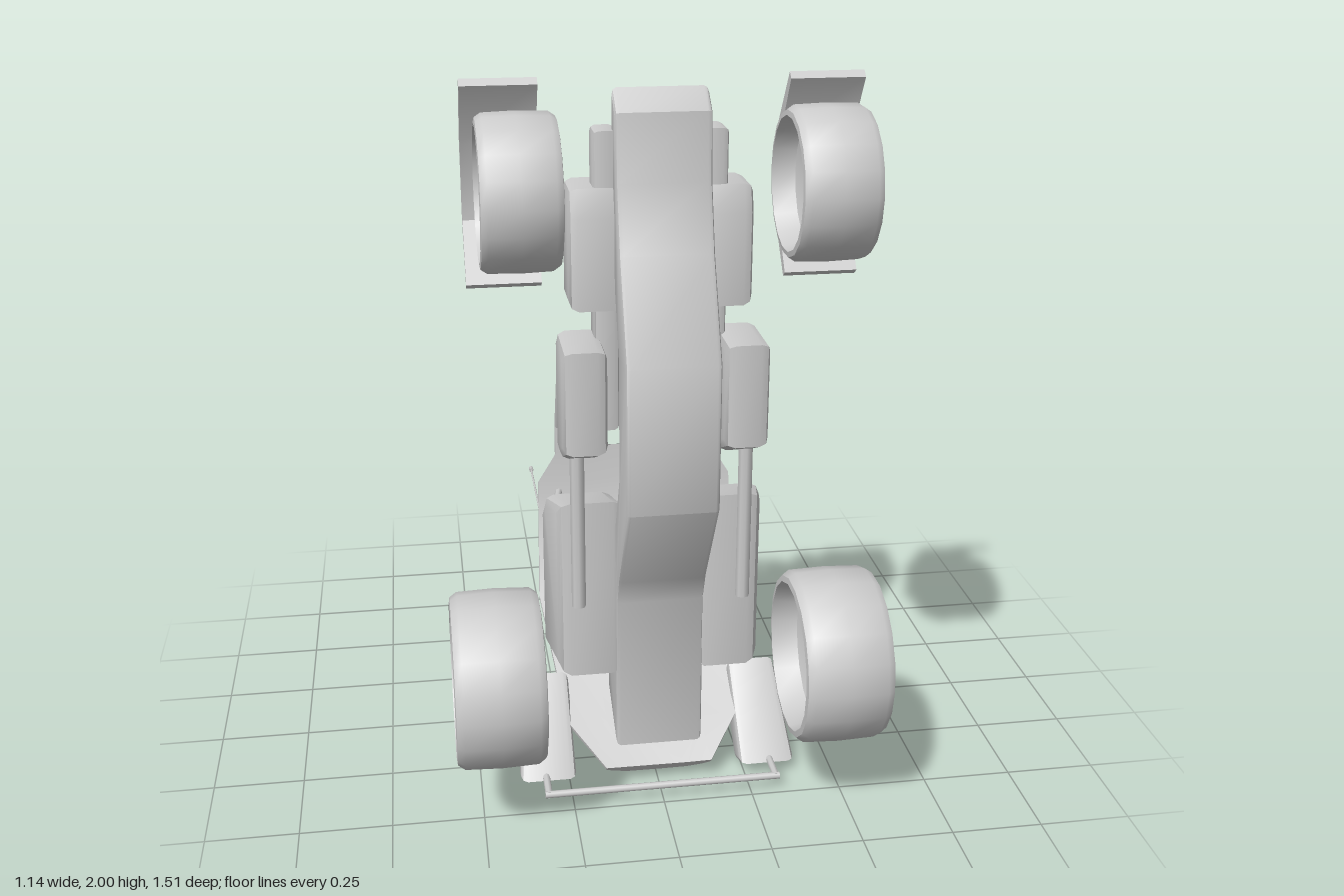
import * as THREE from 'three';
import { toCreasedNormals, mergeVertices } from 'three/addons/utils/BufferGeometryUtils.js';

const material = new THREE.MeshStandardMaterial({ color: 0xcccccc });
const doubleSided = new THREE.MeshStandardMaterial({ color: 0xcccccc, side: THREE.DoubleSide });

export function createModel() {
  const model = new THREE.Group();

  function add(name, geometry, mat = material) {
    const mesh = new THREE.Mesh(geometry, mat);
    mesh.name = name;
    model.add(mesh);
    return mesh;
  }

  // Side outline of [z, y] points, extruded across x from xa to xb
  function slab(name, outline, xa, xb, bevel = 0, rule = null) {
    const shape = new THREE.Shape(outline.map(([z, y]) => new THREE.Vector2(z, y)));
    const geo = new THREE.ExtrudeGeometry(shape, {
      depth: Math.abs(xb - xa) - 2 * bevel,
      bevelEnabled: bevel > 0, bevelSize: bevel, bevelThickness: bevel,
      bevelOffset: -bevel, bevelSegments: 2,
    });
    geo.rotateY(-Math.PI / 2);
    geo.translate(Math.max(xa, xb) - bevel, 0, 0);
    if (rule) {
      const p = geo.attributes.position;
      for (let i = 0; i < p.count; i++) p.setX(i, rule(p.getX(i), p.getY(i), p.getZ(i)));
    }
    return add(name, toCreasedNormals(geo, 0.6));
  }

  // Round bar between points
  function bar(name, points, radius) {
    for (let i = 0; i + 1 < points.length; i++) {
      const a = new THREE.Vector3(...points[i]);
      const b = new THREE.Vector3(...points[i + 1]);
      const dir = b.clone().sub(a);
      const mesh = add(name, new THREE.CylinderGeometry(radius, radius, dir.length() + radius, 8));
      mesh.position.copy(a).add(b).multiplyScalar(0.5);
      mesh.quaternion.setFromUnitVectors(new THREE.Vector3(0, 1, 0), dir.normalize());
    }
  }

  // Tyre with a dished face and hub on both sides
  function wheel(name, x, y, z, r, width) {
    const h = width / 2;
    const half = [[0, 0.42 * h], [0.12 * r, 0.4 * h], [0.17 * r, 0.1 * h], [0.55 * r, 0.16 * h],
      [0.8 * r, 0.4 * h], [0.86 * r, h], [0.93 * r, 0.98 * h], [0.985 * r, 0.82 * h]];
    const profile = [
      ...half.map(([a, b]) => new THREE.Vector2(a, -b)),
      new THREE.Vector2(r, 0),
      ...half.reverse().map(([a, b]) => new THREE.Vector2(a, b)),
    ];
    const geo = new THREE.LatheGeometry(profile, 18);
    geo.rotateZ(Math.PI / 2);
    add(name, toCreasedNormals(geo, 0.75)).position.set(x, y, z);
  }

  // Central chassis beam, bent along its length
  slab('chassisBeam', [
    [0.4, 0.13], [0.405, 0.58], [0.44, 0.66], [0.61, 0.93], [0.61, 1.32], [0.49, 1.57],
    [0.44, 1.74], [0.43, 1.91], [0.36, 1.96], [0.36, 1.56], [0.47, 1.3], [0.47, 0.98],
    [0.28, 0.6], [0.22, 0.36], [0.22, 0.22],
  ], -0.12, 0.12, 0.012);

  // Curved rear shell lofted from arched sections
  const sections = [ // z, y, half width, inward offset z and y
    [-0.165, 0.8, 0.22, 0.055, 0.035],
    [-0.15, 0.71, 0.285, 0.05, 0.02],
    [-0.075, 0.36, 0.295, 0.045, 0.03],
    [0.12, 0.19, 0.265, 0.03, 0.045],
    [0.27, 0.1, 0.24, 0.025, 0.04],
    [0.38, 0.03, 0.15, 0.025, 0.03],
  ];
  const arch = [[-1, 0.75], [-0.85, 0.35], [-0.55, 0], [0, -0.05], [0.55, 0], [0.85, 0.35], [1, 0.75],
    [1, 1.1], [0.55, 1], [-0.55, 1], [-1, 1.1]];
  const verts = [], faces = [], n = arch.length;
  sections.forEach(([z, y, w, oz, oy], r) => {
    for (const [u, k] of arch) verts.push(u * w, y + k * oy, z + k * oz);
    if (r === 0) return;
    for (let i = 0; i < n; i++) {
      const a = (r - 1) * n + i, b = (r - 1) * n + (i + 1) % n;
      faces.push(a, b, a + n, b, b + n, a + n);
    }
  });
  const last = (sections.length - 1) * n;
  for (let i = 0; i < n; i++) { // end caps, fanned from the middle of the inner side
    const j = (i + 1) % n;
    if (i === 8 || j === 8) continue;
    faces.push(8, j, i, last + 8, last + i, last + j);
  }
  const shell = new THREE.BufferGeometry();
  shell.setAttribute('position', new THREE.Float32BufferAttribute(verts, 3));
  shell.setIndex(faces);
  add('rearShell', toCreasedNormals(mergeVertices(shell), 0.7), doubleSided);

  for (const s of [-1, 1]) {
    const side = s > 0 ? 'left' : 'right';

    wheel(side + 'SmallWheel', s * 0.368, 1.757, 0.57, 0.188, 0.19);
    wheel(side + 'LargeWheel', s * 0.452, 0.445, 0.515, 0.235, 0.235);

    // Folded fender behind the small wheel
    slab(side + 'Fender', [
      [0.43, 2.0], [0.32, 1.85], [0.315, 1.63], [0.43, 1.49], [0.447, 1.503],
      [0.345, 1.64], [0.35, 1.83], [0.447, 1.985],
    ], s * 0.305, s * 0.49);

    // Long post and the pod around it
    slab(side + 'Post', [[0.39, 1.08], [0.39, 1.86], [0.3, 1.86], [0.3, 1.08]], s * 0.105, s * 0.17, 0.015);
    slab(side + 'UpperPod', [[0.41, 1.41], [0.41, 1.65], [0.39, 1.72], [0.26, 1.72], [0.26, 1.41]],
      s * 0.09, s * 0.235, 0.025);

    // Lower pod with its rod
    slab(side + 'LowerPod', [[0.51, 1.06], [0.51, 1.335], [0.32, 1.335], [0.32, 1.01], [0.4, 1.01]],
      s * 0.15, s * 0.265, 0.025);
    bar(side + 'Rod', [[s * 0.223, 0.6, 0.42], [s * 0.223, 1.04, 0.42]], 0.019);

    // Side tub, tapering outward near its top
    slab(side + 'Tub', [[0.4, 0.365], [0.4, 0.88], [0.25, 0.845], [0.2, 0.79], [0.2, 0.365]],
      s * 0.11, s * 0.3, 0.03, (x, y, z) => x * (1 - 0.1 * Math.max(0, (z - 0.25) / 0.15)));

    // Slanted corner box at the foot, narrowing toward the back
    slab(side + 'CornerBox', [[0.41, 0.04], [0.32, 0.0], [0.11, 0.17], [0.19, 0.255]],
      s * 0.235, s * 0.39, 0.018, (x, y, z) => {
        const out = Math.max(0, Math.abs(x) - 0.235);
        return s * (Math.abs(x) - out * Math.min(0.6, Math.max(0, (0.21 - z) * 6)));
      });

    // Cage rail and braces
    bar(side + 'CageRail', [
      [s * 0.24, 1.3, 0.36], [s * 0.222, 1.14, 0], [s * 0.222, 0.9, -0.115], [s * 0.222, 0.76, -0.12],
    ], 0.011);
    bar(side + 'UpperBrace', [[s * 0.28, 0.7, 0.22], [s * 0.225, 0.7, -0.1]], 0.01);
    bar(side + 'LowerBrace', [[s * 0.28, 0.485, 0.22], [s * 0.225, 0.59, -0.07]], 0.01);

    // Bumper leg
    bar(side + 'BumperLeg', [[s * 0.32, 0.045, 0.36], [s * 0.32, 0.045, 0.483]], 0.01);
  }

  bar('cageCrossbar', [[-0.222, 1.14, 0], [0.222, 1.14, 0]], 0.01);
  bar('bumperBar', [[-0.325, 0.045, 0.483], [0.325, 0.045, 0.483]], 0.01);

  // Antenna with tip
  bar('antenna', [[-0.26, 0.5, -0.08], [-0.26, 0.5, -0.74]], 0.003);
  bar('antennaTip', [[-0.26, 0.5, -0.735], [-0.26, 0.5, -0.75]], 0.007);

  return model;
}
